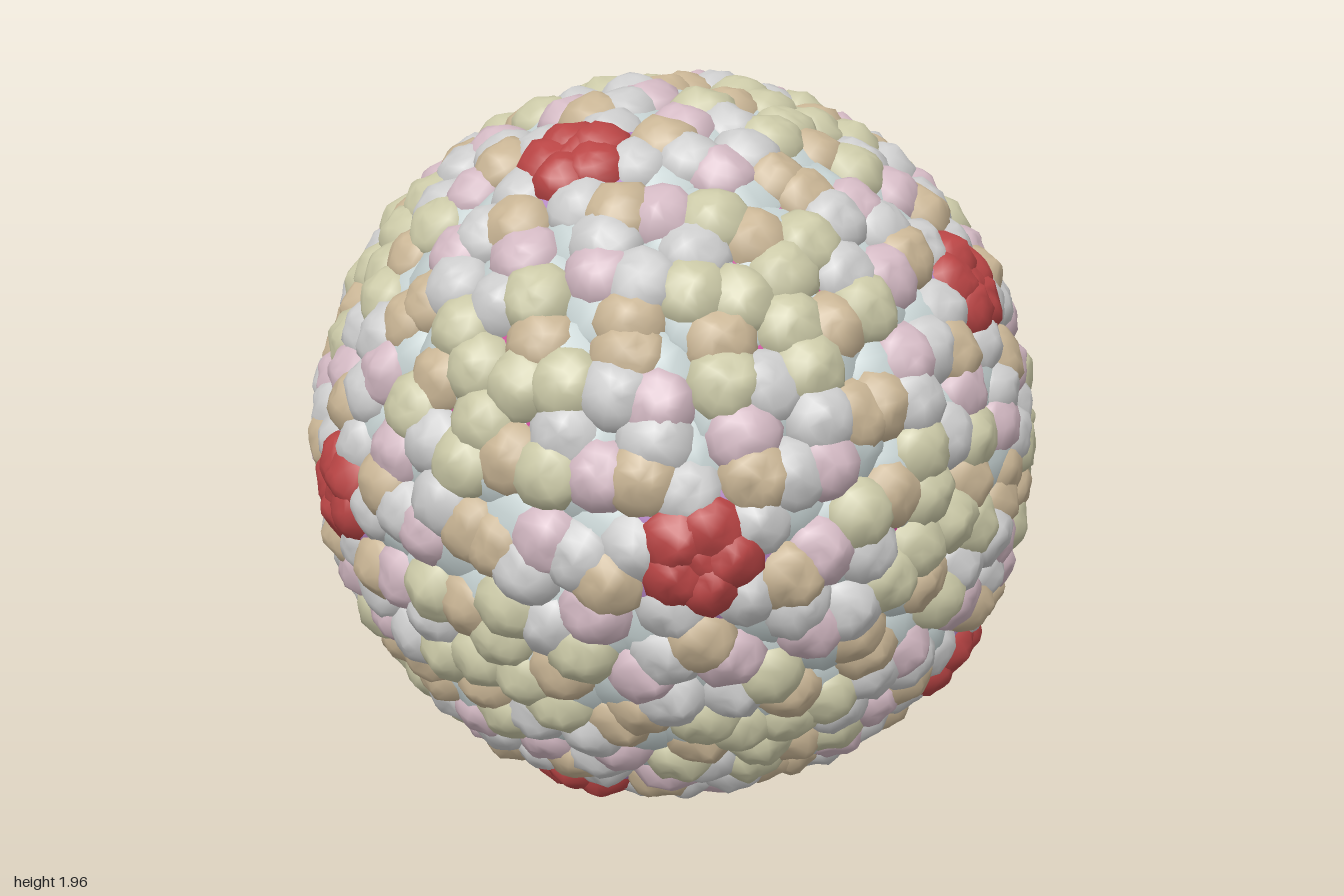
import * as THREE from 'three';
import { mergeGeometries, mergeVertices } from 'three/addons/utils/BufferGeometryUtils.js';

const UP = new THREE.Vector3(0, 1, 0);
const CENTRE_Y = 0.985;
const COLORS = {
  white: 0xcccccc, tan: 0xc8b494, pink: 0xd2b8c2, yellow: 0xcac8a6, pale: 0xc4d0d0,
  red: 0xb84444, purple: 0xb080c0, magenta: 0xc83c96,
};

// Twelve corners of an icosahedron with one corner facing +z
function icosaCorners() {
  const list = [new THREE.Vector3(0, 0, 1), new THREE.Vector3(0, 0, -1)];
  const h = 1 / Math.sqrt(5);
  for (let i = 0; i < 5; i++) {
    const a = Math.PI + (i * 2 * Math.PI) / 5;
    const v = new THREE.Vector3(2 * h * Math.cos(a), 2 * h * Math.sin(a), h);
    list.push(v, v.clone().negate());
  }
  return list;
}

// Twenty faces as counter-clockwise corner triples
function icosaFaces(c) {
  const faces = [];
  const near = (a, b) => c[a].dot(c[b]) > 0.4;
  for (let i = 0; i < 12; i++)
    for (let j = i + 1; j < 12; j++)
      for (let k = j + 1; k < 12; k++) {
        if (!near(i, j) || !near(j, k) || !near(i, k)) continue;
        const ccw = c[i].clone().cross(c[j]).dot(c[k]) > 0;
        faces.push(ccw ? [c[i], c[j], c[k]] : [c[i], c[k], c[j]]);
      }
  return faces;
}

// Evenly spaced lattice point on the sphere from weights summing to 5
function latticePoint(corners, weights) {
  const p = new THREE.Vector3();
  const arc = Math.acos(1 / Math.sqrt(5));
  corners.forEach((c, i) => p.addScaledVector(c, Math.sin((weights[i] / 5) * arc)));
  return p.normalize();
}

// Small lumpy variation of the surface
function crinkle(p) {
  return 0.006 * Math.sin(53 * p.x + 17 * p.y) * Math.sin(49 * p.y - 23 * p.z + 1)
    + 0.005 * Math.sin(71 * p.z + 31 * p.x + 2) * Math.sin(67 * p.x - 41 * p.y);
}

// Domed lump standing on the sphere along dir, its crown at radius top
function dome(dir, top, width, height, sides = 11, rings = 6) {
  const geo = new THREE.SphereGeometry(1, sides, rings, 0, Math.PI * 2, 0, Math.PI * 0.6);
  geo.deleteAttribute('uv');
  geo.deleteAttribute('normal');
  const q = new THREE.Quaternion().setFromUnitVectors(UP, dir);
  geo.applyMatrix4(new THREE.Matrix4().compose(
    dir.clone().multiplyScalar(top - height), q, new THREE.Vector3(width, height, width)));
  const pos = geo.attributes.position;
  const p = new THREE.Vector3();
  for (let i = 0; i < pos.count; i++) {
    p.fromBufferAttribute(pos, i);
    p.multiplyScalar(1 + crinkle(p));
    pos.setXYZ(i, p.x, p.y, p.z);
  }
  return geo;
}

// Direction moved from dir by an arc towards target, twisted about dir
function offset(dir, target, arc, twist) {
  const t = target.clone().addScaledVector(dir, -target.dot(dir)).normalize();
  t.applyAxisAngle(dir, twist);
  return dir.clone().addScaledVector(t, arc).normalize();
}

// The four kinds of three-lobed block in each third of a face
const BLOCKS = [
  { at: [4, 1, 0], lobes: ['white', 'white', 'tan'], top: 0.985 },
  { at: [3, 2, 0], lobes: ['pink', 'tan', 'white'], top: 0.98 },
  { at: [3, 1, 1], lobes: ['pink', 'white', 'yellow'], top: 0.98 },
  { at: [2, 2, 1], lobes: ['yellow', 'tan', 'yellow'], top: 0.977 },
];

export function createModel() {
  const group = new THREE.Group();
  const corners = icosaCorners();
  const parts = {
    whiteLobes: [], tanLobes: [], pinkLobes: [], yellowLobes: [],
    blockBases: [], cornerLobes: [], cornerRims: [],
  };

  // Three-lobed blocks covering the faces
  for (const face of icosaFaces(corners)) {
    for (let turn = 0; turn < 3; turn++) {
      const tri = [0, 1, 2].map((i) => face[(i + turn) % 3]);
      for (const block of BLOCKS) {
        const dir = latticePoint(tri, block.at);
        parts.blockBases.push(dome(dir, 0.952, 0.147, 0.07, 10, 4));
        block.lobes.forEach((color, i) => {
          const d = offset(dir, tri[i], 0.071, 0.22);
          const top = block.top + 0.006 * Math.sin(i * 2.1 + block.at[0]);
          parts[color + 'Lobes'].push(dome(d, top, 0.094, 0.075));
        });
      }
    }
  }

  // Five-lobed red caps with a purple rim on the twelve corners
  for (const c of corners) {
    parts.cornerRims.push(dome(c, 0.966, 0.19, 0.07, 20, 6));
    const around = corners.filter((o) => Math.abs(o.dot(c) - 0.447) < 0.01);
    for (const o of around) parts.cornerLobes.push(dome(offset(c, o, 0.066, 0.63), 0.999, 0.09, 0.075));
    parts.cornerLobes.push(dome(c, 0.993, 0.07, 0.05));
  }

  const colorOf = {
    whiteLobes: 'white', tanLobes: 'tan', pinkLobes: 'pink', yellowLobes: 'yellow',
    blockBases: 'pale', cornerLobes: 'red', cornerRims: 'purple',
  };
  const add = (name, geo, color) => {
    const mesh = new THREE.Mesh(geo, new THREE.MeshStandardMaterial({ color: COLORS[color] }));
    mesh.name = name;
    mesh.position.y = CENTRE_Y;
    group.add(mesh);
  };
  for (const [name, list] of Object.entries(parts)) {
    const geo = mergeVertices(mergeGeometries(list), 1e-5);
    geo.computeVertexNormals();
    add(name, geo, colorOf[name]);
  }

  // Inner shell showing through the gaps
  add('innerShell', new THREE.SphereGeometry(0.924, 48, 32), 'magenta');
  return group;
}
